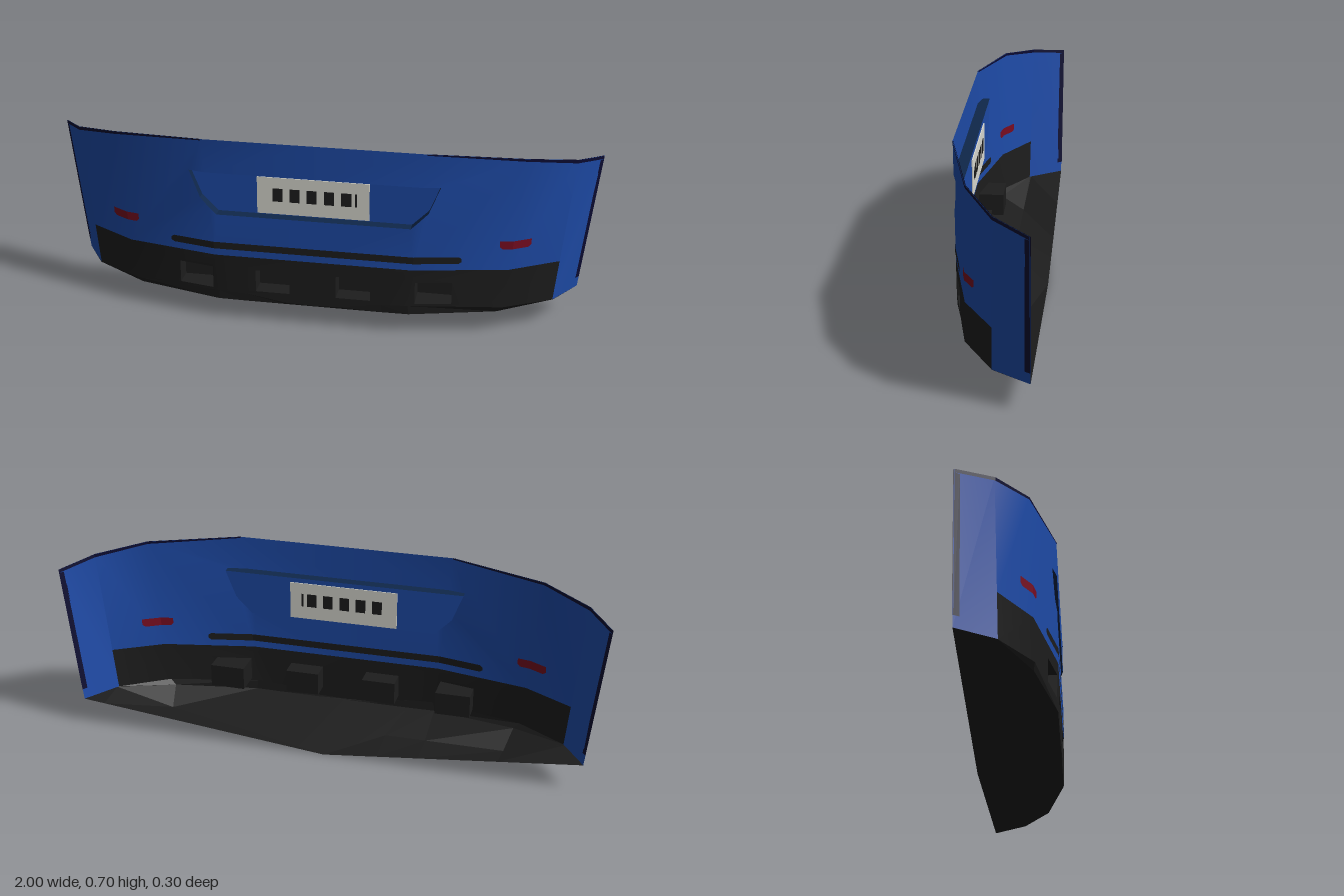
import * as THREE from 'three';
import { mergeGeometries, toCreasedNormals } from 'three/addons/utils/BufferGeometryUtils.js';

const mat = (name, color) => {
  const m = new THREE.MeshStandardMaterial({ color, side: THREE.DoubleSide });
  m.name = name;
  return m;
};

// Plan outline (x, z) at the lower edge and at the upper edge, centre to end
const LOW = [[0, 0.15], [0.345, 0.15], [0.68, 0.085], [0.855, -0.02], [0.94, -0.15]];
const HIGH = [[0, 0.15], [0.4, 0.15], [0.74, 0.07], [0.91, -0.03], [1.0, -0.15]];
const TOP = [0.70, 0.70, 0.676, 0.646, 0.622];

// Outline station i at height y
const station = (i, y) => {
  const t = (y - 0.1) / (TOP[i] - 0.1);
  return [0, 1].map(k => LOW[i][k] + (HIGH[i][k] - LOW[i][k]) * t);
};
const sx = (i, y) => [station(i, y)[0], y];

// Depth of the bumper skin at (x, y)
function zAt(x, y) {
  const ax = Math.abs(x);
  for (let i = 0; i < 4; i++) {
    const a = station(i, y), b = station(i + 1, y);
    if (ax <= b[0] || i === 3) return a[1] + (b[1] - a[1]) * (ax - a[0]) / (b[0] - a[0]);
  }
}

// Flat outline draped on the skin
function drape(pts, hole, side = 1, off = 0) {
  const v = list => list.map(([x, y]) => new THREE.Vector2(x * side, y));
  const shape = new THREE.Shape(v(pts));
  if (hole) shape.holes.push(new THREE.Path(v(hole)));
  const g = new THREE.ShapeGeometry(shape);
  const p = g.attributes.position;
  for (let i = 0; i < p.count; i++) p.setZ(i, zAt(p.getX(i), p.getY(i)) + off);
  g.computeVertexNormals();
  return g;
}

// Strip of quads between two rows of 3D points
function loft(a, b, closed = false) {
  const pos = [], idx = [], n = a.length;
  a.forEach((p, i) => pos.push(...p, ...b[i]));
  for (let i = 0; i < (closed ? n : n - 1); i++) {
    const j = (i + 1) % n;
    idx.push(2 * i, 2 * i + 1, 2 * j, 2 * j, 2 * i + 1, 2 * j + 1);
  }
  const g = new THREE.BufferGeometry();
  g.setAttribute('position', new THREE.Float32BufferAttribute(pos, 3));
  g.setIndex(idx);
  const flat = g.toNonIndexed();
  flat.computeVertexNormals();
  return flat;
}

const rect = (x0, x1, y0, y1) => [[x0, y0], [x1, y0], [x1, y1], [x0, y1]];

export function createModel() {
  const group = new THREE.Group();
  const blue = mat('body blue', 0x1e4ba8);
  const shade = mat('deep blue', 0x0f274a);
  const navy = mat('navy edge', 0x0a0a30);
  const black = mat('black plastic', 0x1d1d1d);
  const red = mat('reflector red', 0x780c20);
  const white = mat('plate white', 0xdadad2);

  const add = (name, geo, material) => {
    const m = new THREE.Mesh(geo, material);
    m.name = name;
    group.add(m);
  };
  const skin = (name, parts, material) => {
    const geos = [1, -1].flatMap(s => parts.map(([pts, hole]) => drape(pts, hole, s)));
    add(name, toCreasedNormals(mergeGeometries(geos), 0.65), material);
  };
  // Thin plate showing on both faces of the skin
  const plate = (name, parts, material) => {
    const geos = [1, -1].flatMap(s => [0.002, -0.002].flatMap(o => parts.map(p => drape(p, null, s, o))));
    add(name, mergeGeometries(geos), material);
  };

  // Painted upper skin, leaving the plate recess open
  const corner = [0.376, 0.441], lintel = sx(1, 0.575);
  skin('upperSkin', [
    [[[0, 0.255], sx(1, 0.255), corner, [0.35, 0.415], [0, 0.415]]],
    [[[0, 0.575], lintel, [0.4, 0.7], [0, 0.7]]],
    [[sx(1, 0.255), sx(2, 0.255), sx(2, TOP[2]), [0.4, 0.7], lintel, [0.45, 0.575], [0.41, 0.475], corner]],
    [[sx(2, 0.255), sx(3, 0.255), sx(3, TOP[3]), sx(2, TOP[2])]],
    [[sx(3, 0.1), sx(4, 0.1), sx(4, TOP[4]), sx(3, TOP[3])]],
  ], blue);

  // Black lower skin with openings for the pockets
  const inner = rect(0.085, 0.21, 0.12, 0.205), outer = rect(0.37, 0.5, 0.12, 0.205);
  const hem = [[0, 0.08], [0.1, 0.083], [0.25, 0.108], sx(1, 0.112), sx(2, 0.105), sx(3, 0.1), sx(4, 0.1)];
  skin('lowerSkin', [
    [[...hem.slice(0, 4), sx(1, 0.255), [0, 0.255]], inner],
    [[hem[3], hem[4], sx(2, 0.255), sx(1, 0.255)], outer],
    [[hem[4], hem[5], sx(3, 0.255), sx(2, 0.255)]],
  ], black);

  // Recesses: walls back from the skin, then a flat floor
  const recess = (name, pts, z, wallMat, floorMat) => {
    add(name + 'Walls', loft(pts.map(([x, y]) => [x, y, zAt(x, y)]), pts.map(([x, y]) => [x, y, z]), true), wallMat);
    const floor = new THREE.ShapeGeometry(new THREE.Shape(pts.map(p => new THREE.Vector2(...p))));
    add(name + 'Floor', floor.translate(0, 0, z), floorMat);
  };
  const half = [[0.35, 0.415], corner, [0.41, 0.475], [0.45, 0.575], lintel];
  recess('plateRecess', [...half, ...half.map(([x, y]) => [-x, y]).reverse()], 0.11, shade, blue);
  for (const s of [1, -1]) {
    recess('outerPocket', outer.map(([x, y]) => [x * s, y]), 0.05, black, black);
    recess('innerPocket', inner.map(([x, y]) => [x * s, y]), 0.08, black, black);
  }

  // Number plate with plain dark blocks
  const slab = (name, x, y, w, h, d, m) =>
    add(name, new THREE.BoxGeometry(w, h, d).translate(x, y, 0.11), m);
  slab('numberPlate', -0.005, 0.488, 0.405, 0.14, 0.007, white);
  for (let i = 0; i < 5; i++) slab('plateMark', -0.133 + i * 0.062, 0.492, 0.036, 0.05, 0.0095, black);
  slab('plateMark', 0.15, 0.492, 0.007, 0.05, 0.0095, black);

  // Trim bar, reflectors and dark edging
  plate('trimBar', [[[0, 0.281], sx(1, 0.281), sx(1, 0.307), [0, 0.307]],
    [sx(1, 0.281), [0.52, 0.281], [0.53, 0.288], [0.53, 0.3], [0.52, 0.307], sx(1, 0.307)]], black);
  plate('reflector', [
    [[0.66, 0.345], [0.67, 0.336], sx(2, 0.336), sx(2, 0.367), [0.66, 0.367]],
    [sx(2, 0.336), [0.757, 0.336], [0.768, 0.345], [0.768, 0.367], sx(2, 0.367)]], red);
  const down = (i, d) => sx(i, TOP[i] - d);
  const inset = y => [sx(4, y)[0] - 0.012, y];
  plate('edgeBand', [
    [down(1, 0.004), down(1, 0), down(2, 0), down(2, 0.009)],
    [down(2, 0.009), down(2, 0), down(3, 0), down(3, 0.012)],
    [down(3, 0.012), down(3, 0), down(4, 0), down(4, 0.012)],
    [inset(0.14), sx(4, 0.14), sx(4, 0.61), inset(0.61)]], navy);

  // Underside: short front lip, sloping floor, then wings to the rear edge
  const mirror = pts => [...pts.slice().reverse(), ...pts.slice(1).map(([x, ...r]) => [-x, ...r])];
  const edge = mirror(hem.map(([x, y]) => [x, y, zAt(x, y)]));
  const lip = mirror([[0, 0.077, 0.148], [0.1, 0.077, 0.148], [0.25, 0.077, 0.148], [0.35, 0.078, 0.148],
    [0.66, 0.085, 0.08], [0.855, 0.1, -0.02], [0.94, 0.1, -0.15]]);
  const keel = [[0.94, 0.1, -0.15], [0.86, 0.1, -0.025], [0.64, 0.035, -0.01], [0.35, 0.019, -0.073],
    [0.25, 0.014, -0.095], [0.1, 0.006, -0.128], [0, 0, -0.15], [-0.1, 0.017, -0.08], [-0.2, 0.035, -0.01],
    [-0.35, 0.035, -0.01], [-0.64, 0.035, -0.01], [-0.86, 0.1, -0.025], [-0.94, 0.1, -0.15]];
  const rear = keel.map(([x]) => [x, 0.1 * Math.abs(x) / 0.94, -0.15]);
  add('undertray', mergeGeometries([loft(edge, lip), loft(lip, keel), loft(keel, rear)]), black);

  return group;
}
